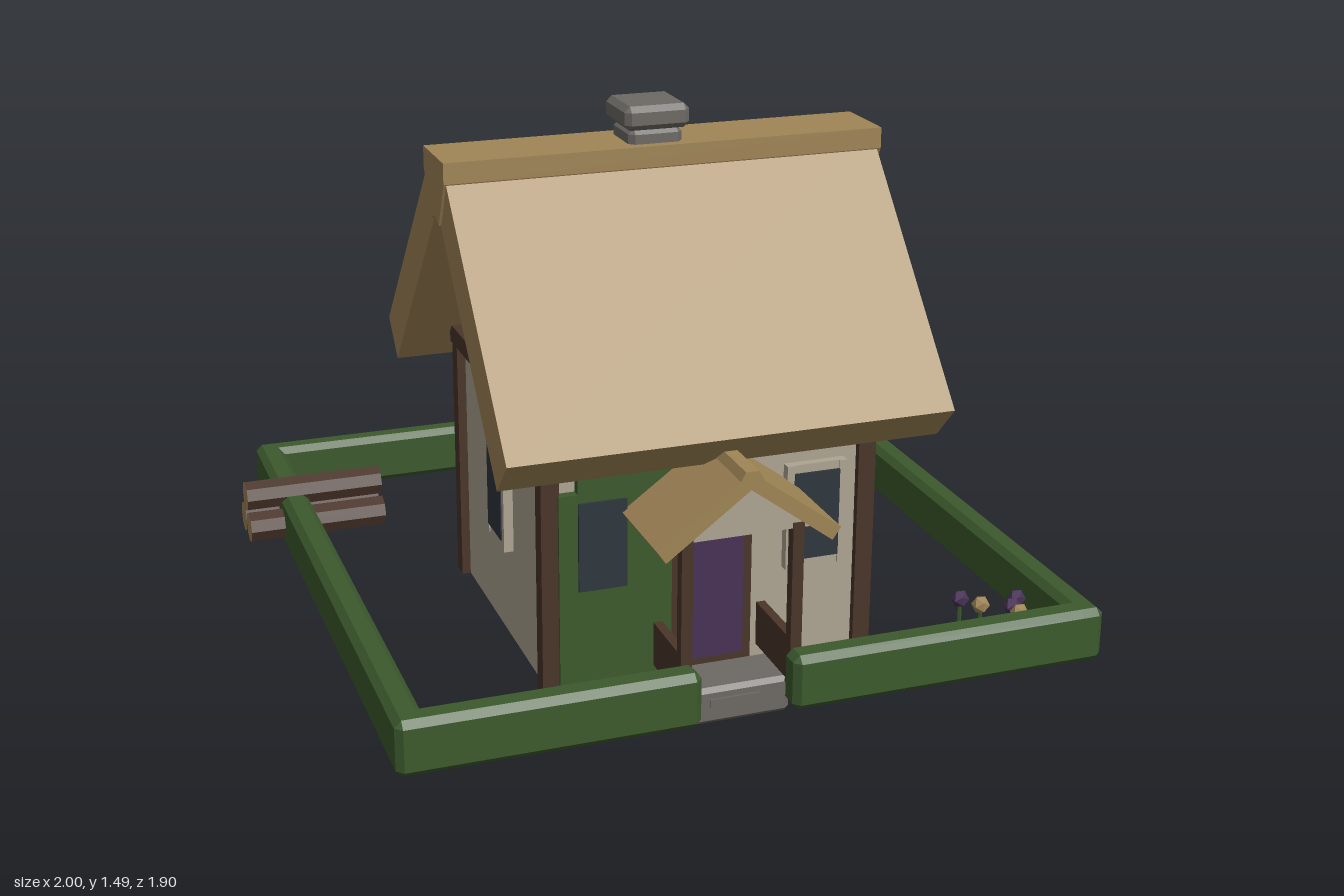
import * as THREE from 'three';
import { ConvexGeometry } from 'three/addons/geometries/ConvexGeometry.js';

export function createModel() {
  const root = new THREE.Group();
  root.name = 'cottageGarden';
  const mat = (name, color) => {
    const m = new THREE.MeshStandardMaterial({ color, flatShading: true });
    m.name = name;
    return m;
  };
  const plaster = mat('plaster', 0xaea593);
  const thatch = mat('thatch', 0xa08556);
  const timber = mat('timber', 0x4a3529);
  const hedgeGreen = mat('hedgeGreen', 0x3c5a2d);
  const stone = mat('stone', 0x6d6a65);
  const glass = mat('glass', 0x2e363e);
  const purple = mat('purple', 0x483257);
  const cream = mat('cream', 0xbdb5a3);

  const group = (name, parent = root) => {
    const g = new THREE.Group();
    g.name = name;
    parent.add(g);
    return g;
  };
  const add = (parent, name, geometry, material) => {
    const m = new THREE.Mesh(geometry, material);
    m.name = name;
    parent.add(m);
    return m;
  };
  // Box given by its extents on each axis
  const box = (parent, name, material, [x0, x1], [y0, y1], [z0, z1]) => {
    const m = add(parent, name, new THREE.BoxGeometry(x1 - x0, y1 - y0, z1 - z0), material);
    m.position.set((x0 + x1) / 2, (y0 + y1) / 2, (z0 + z1) / 2);
    return m;
  };
  // Box with chamfered edges
  const chamferBox = (parent, name, material, xr, yr, zr, c) => {
    const points = [];
    for (let i = 0; i < 8; i++) {
      const side = [i & 1, (i >> 1) & 1, (i >> 2) & 1];
      for (let k = 0; k < 3; k++) {
        const p = [xr, yr, zr].map((r, a) => r[side[a]] + (a === k ? 0 : side[a] ? -c : c));
        points.push(new THREE.Vector3(...p));
      }
    }
    return add(parent, name, new ConvexGeometry(points), material);
  };
  // Profile of (z, y) points extruded along x
  const alongX = (parent, name, material, pts, x0, x1) => {
    const shape = new THREE.Shape(pts.map(([z, y]) => new THREE.Vector2(-z, y)));
    const g = new THREE.ExtrudeGeometry(shape, { depth: x1 - x0, bevelEnabled: false });
    g.rotateY(Math.PI / 2).translate(x0, 0, 0);
    return add(parent, name, g, material);
  };
  // Profile of (x, y) points extruded along z
  const alongZ = (parent, name, material, pts, z0, z1) => {
    const shape = new THREE.Shape(pts.map(([x, y]) => new THREE.Vector2(x, y)));
    const g = new THREE.ExtrudeGeometry(shape, { depth: z1 - z0, bevelEnabled: false });
    g.translate(0, 0, z0);
    return add(parent, name, g, material);
  };

  // Hedge with a gap at the front path
  const hedge = group('hedge');
  const hy = [0.05, 0.2];
  chamferBox(hedge, 'backHedge', hedgeGreen, [-0.9, 1], hy, [-0.95, -0.875], 0.018);
  chamferBox(hedge, 'rightHedge', hedgeGreen, [-0.9, -0.82], hy, [-0.95, 0.95], 0.018);
  chamferBox(hedge, 'leftHedge', hedgeGreen, [0.92, 1], hy, [-0.95, 0.95], 0.018);
  chamferBox(hedge, 'frontHedgeRight', hedgeGreen, [-0.9, -0.125], hy, [0.87, 0.95], 0.018);
  chamferBox(hedge, 'frontHedgeLeft', hedgeGreen, [0.12, 1], hy, [0.87, 0.95], 0.018);

  // Hollow walls, open underneath
  const house = group('house');
  const cz = 0.248;
  box(house, 'frontWall', plaster, [-0.43, 0.43], [0.05, 0.79], [0.625, 0.65]);
  box(house, 'backWall', plaster, [-0.43, 0.43], [0.05, 0.79], [-0.155, -0.13]);
  for (const s of [-1, 1]) {
    const x = s * 0.4175;
    box(house, 'sideWall', plaster, [x - 0.0125, x + 0.0125], [0.05, 0.79], [-0.13, 0.625]);
    alongX(house, 'gable', plaster, [[0.66, 0.78], [-0.165, 0.78], [cz, 1.25]], x - 0.0125, x + 0.0125);
    // Timber frame
    for (const z of [-0.147, 0.645])
      box(house, 'cornerPost', timber, [s * 0.43 - 0.024, s * 0.43 + 0.024], [0.05, 0.75], [z - 0.024, z + 0.024]);
    box(house, 'sideBeam', timber, [s * 0.43 - 0.027, s * 0.43 + 0.027], [0.74, 0.79], [-0.18, 0.675]);
  }
  for (const z of [-0.147, 0.645])
    box(house, 'crossBeam', timber, [-0.45, 0.45], [0.74, 0.79], [z - 0.027, z + 0.027]);

  // Thatched roof, two slabs and a ridge cap
  const roof = group('roof');
  for (const s of [-1, 1]) {
    const pts = [[0.602, 0.77], [0, 1.44], [0, 1.245], [0.512, 0.675]];
    // Trim the slab tops under the ridge cap
    pts.splice(1, 1, [0.06, 1.37], [0, 1.37]);
    alongX(roof, 'roofSlope', thatch, pts.map(([z, y]) => [cz + s * z, y]), -0.59, 0.58);
  }
  alongX(roof, 'ridgeCap', thatch, [
    [cz + 0.1, 1.385], [cz + 0.1, 1.33], [cz + 0.04, 1.21], [cz, 1.228],
    [cz - 0.04, 1.21], [cz - 0.1, 1.33], [cz - 0.1, 1.385],
  ], -0.597, 0.59);

  // Chimney
  const chimney = group('chimney');
  chamferBox(chimney, 'chimneyShaft', stone, [-0.1, 0.045], [1.25, 1.425], [0.176, 0.32], 0.015);
  chamferBox(chimney, 'chimneyTop', stone, [-0.115, 0.06], [1.422, 1.485], [0.16, 0.335], 0.015);

  // Windows, built facing +z and turned to each wall
  const addWindow = (x, z, turn) => {
    const w = group('window');
    box(w, 'windowFrame', plaster, [-0.083, 0.083], [0.312, 0.6], [-0.01, 0.015]);
    box(w, 'windowPane', glass, [-0.063, 0.063], [0.338, 0.577], [0.015, 0.022]);
    for (const s of [-1, 1])
      box(w, 'frameEdge', plaster, [s * 0.073 - 0.01, s * 0.073 + 0.01], [0.312, 0.6], [0.015, 0.019]);
    w.position.set(x, 0, z);
    w.rotation.y = turn;
  };
  addWindow(0.287, 0.657, 0);
  addWindow(0.287, -0.16, Math.PI);
  addWindow(0.437, 0.25, Math.PI / 2);
  addWindow(-0.437, 0.25, -Math.PI / 2);

  // Ivy on the front wall, with the second front window in it
  const ivy = group('ivy');
  box(ivy, 'ivyLower', hedgeGreen, [-0.41, -0.11], [0.05, 0.6], [0.615, 0.676]);
  box(ivy, 'ivyUpper', hedgeGreen, [-0.36, -0.05], [0.6, 0.74], [0.615, 0.676]);
  box(ivy, 'ivyWindowPane', glass, [-0.36, -0.232], [0.338, 0.577], [0.676, 0.683]);

  // Door
  box(house, 'doorFrame', timber, [-0.11, 0.11], [0.05, 0.505], [0.61, 0.672]);
  box(house, 'door', purple, [-0.092, 0.085], [0.1, 0.46], [0.672, 0.68]);

  // Porch
  const porch = group('porch');
  for (const s of [-1, 1]) {
    box(porch, 'porchPost', timber, [s * 0.147 - 0.015, s * 0.147 + 0.015], [0.09, 0.54], [0.855, 0.885]);
    box(porch, 'porchRail', timber, [s * 0.147 - 0.012, s * 0.147 + 0.012], [0.1, 0.22], [0.65, 0.88]);
    alongZ(porch, 'porchRoofSlope', thatch,
      [[0, 0.715], [0.24, 0.54], [0.218, 0.508], [0, 0.67]].map(([x, y]) => [-0.005 + s * x, y]), 0.62, 0.94);
  }
  alongZ(porch, 'porchGable', plaster, [[-0.2, 0.525], [0.19, 0.525], [-0.005, 0.68]], 0.865, 0.88);
  alongZ(porch, 'porchRidge', thatch, [[-0.035, 0.697], [-0.005, 0.675], [0.025, 0.697], [0.012, 0.72], [-0.022, 0.72]], 0.62, 0.945);
  box(porch, 'kingPost', timber, [-0.015, 0.015], [0.5, 0.53], [0.66, 0.69]);
  chamferBox(porch, 'doorstep', stone, [-0.157, 0.15], [0, 0.1], [0.7, 0.85], 0.012);
  box(porch, 'frontStep', stone, [-0.07, 0.065], [0.05, 0.072], [0.84, 0.856]);

  // Hen house on legs
  const coop = group('henHouse');
  alongX(coop, 'henHouseBody', thatch,
    [[-0.495, 0.2], [-0.52, 0.24], [-0.52, 0.335], [-0.67, 0.375], [-0.67, 0.2]], 0.59, 0.81);
  alongX(coop, 'henHouseRoof', timber, [[-0.502, 0.335], [-0.695, 0.418], [-0.695, 0.335]], 0.565, 0.84);
  for (const x of [0.61, 0.79]) for (const z of [-0.65, -0.54])
    box(coop, 'henHouseLeg', timber, [x - 0.013, x + 0.013], [0.05, 0.2], [z - 0.013, z + 0.013]);
  alongX(coop, 'ramp', timber, [[-0.41, 0.05], [-0.41, 0.065], [-0.52, 0.215], [-0.52, 0.2]], 0.673, 0.727);

  // Hens
  for (const [x, m] of [[0.64, thatch], [0.78, cream]]) {
    const hen = add(root, 'hen', new THREE.IcosahedronGeometry(0.03, 0), m);
    hen.position.set(x, 0.085, -0.4);
  }

  // Flowers
  const flowers = group('flowers');
  for (const [x, z, m] of [[0.7, 0.71, purple], [0.735, 0.76, thatch], [0.845, 0.755, purple], [0.81, 0.795, purple], [0.81, 0.835, thatch]]) {
    const stem = add(flowers, 'stem', new THREE.CylinderGeometry(0.006, 0.006, 0.11, 5), hedgeGreen);
    stem.position.set(x, 0.105, z);
    const bloom = add(flowers, 'bloom', new THREE.IcosahedronGeometry(0.025, 0), m);
    bloom.position.set(x, 0.168, z);
  }

  // Stacked logs with pale cut ends
  const logs = group('logPile');
  for (const [y, z] of [[0.119, -0.582], [0.119, -0.495], [0.2, -0.538]]) {
    const log = add(logs, 'log', new THREE.CylinderGeometry(0.045, 0.045, 0.4, 8), [timber, thatch, thatch]);
    log.rotation.z = Math.PI / 2;
    log.position.set(-0.8, y, z);
  }

  // Garden bench
  const bench = group('bench');
  box(bench, 'benchSeat', timber, [-0.115, 0.21], [0.12, 0.142], [-0.585, -0.49]);
  box(bench, 'benchBack', timber, [-0.115, 0.21], [0.155, 0.24], [-0.592, -0.575]);
  for (const x of [-0.075, 0.17]) {
    box(bench, 'benchLeg', timber, [x - 0.014, x + 0.014], [0.05, 0.12], [-0.575, -0.5]);
    box(bench, 'backSupport', timber, [x - 0.012, x + 0.012], [0.14, 0.16], [-0.59, -0.577]);
  }
  return root;
}
